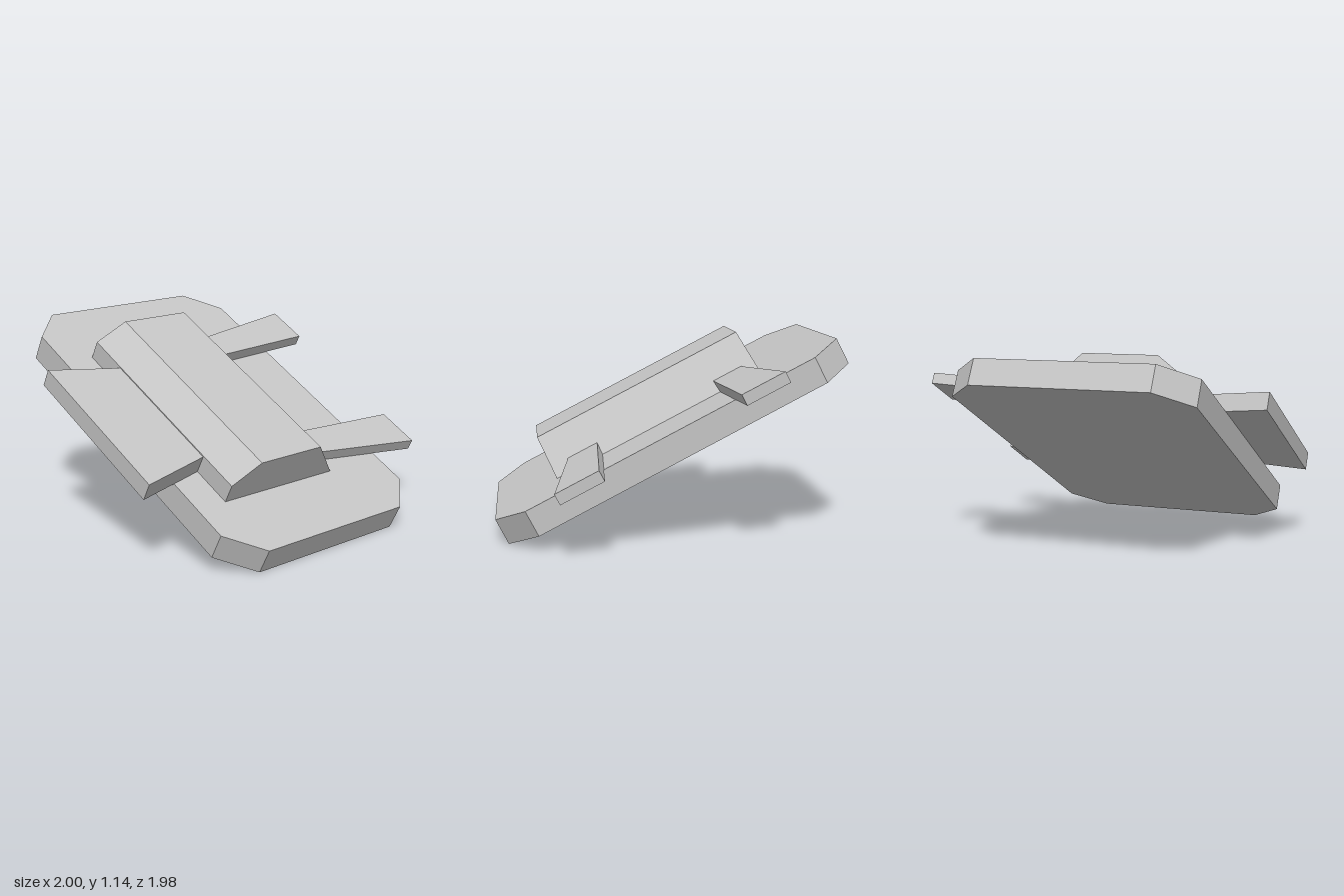
import * as THREE from 'three';

// Flat slab: outline points are [along, z], raised from bottom to top
function slab(points, bottom, top) {
  const shape = new THREE.Shape(points.map(([u, z]) => new THREE.Vector2(u, z)));
  const geo = new THREE.ExtrudeGeometry(shape, { depth: top - bottom, bevelEnabled: false });
  return geo.rotateX(Math.PI / 2).translate(0, top, 0);
}

// Prism running lengthwise: section points are [z, height]
function prism(points, start, end) {
  const shape = new THREE.Shape(points.map(([z, v]) => new THREE.Vector2(-z, v)));
  const geo = new THREE.ExtrudeGeometry(shape, { depth: end - start, bevelEnabled: false });
  return geo.rotateY(Math.PI / 2).translate(start, 0, 0);
}

export function createModel() {
  const model = new THREE.Group();
  model.name = 'tiltedPlateAssembly';
  const grey = new THREE.MeshStandardMaterial({ color: 0xc4c4c4 });
  grey.name = 'plainGrey';

  // Everything is built flat, then tilted down towards +x
  const tilted = new THREE.Group();
  tilted.name = 'tiltedBody';
  tilted.rotation.z = -0.477;
  tilted.position.set(-0.0375, 0.5, 0);
  model.add(tilted);

  const add = (name, geo) => {
    const mesh = new THREE.Mesh(geo, grey);
    mesh.name = name;
    tilted.add(mesh);
  };

  const deck = 0.159; // top of the base plate

  // Base plate with four cut corners
  const end = 1.0845, side = 0.897, front = 0.742, back = -0.702, cut = 0.193;
  add('basePlate', slab([
    [-end, back + cut], [-side, back], [side, back], [end, back + cut],
    [end, front - cut], [side, front], [-side, front], [-end, front - cut],
  ], 0, deck));

  // Raised block: sloped back, chamfered front
  add('upperBlock', prism([
    [0.542, deck], [0.542, 0.272], [0.371, 0.395], [-0.087, 0.395], [-0.287, deck],
  ], -0.641, 0.688));

  // Wide flap flaring out over the front edge
  add('frontFlap', slab([
    [-0.382, 0.5], [0.421, 0.5], [0.523, 0.99], [-0.482, 0.99],
  ], deck, 0.266));

  // Two flaring arms over the back edge: inner pair, then outer pair along the length
  const arms = [
    ['upperRearArm', -0.556, -0.376, -0.679, -0.4175],
    ['lowerRearArm', 0.386, 0.574, 0.427, 0.692],
  ];
  for (const [name, in0, in1, out0, out1] of arms) {
    add(name, slab([[out0, -0.99], [out1, -0.99], [in1, -0.2], [in0, -0.2]], deck, 0.225));
  }

  return model;
}
